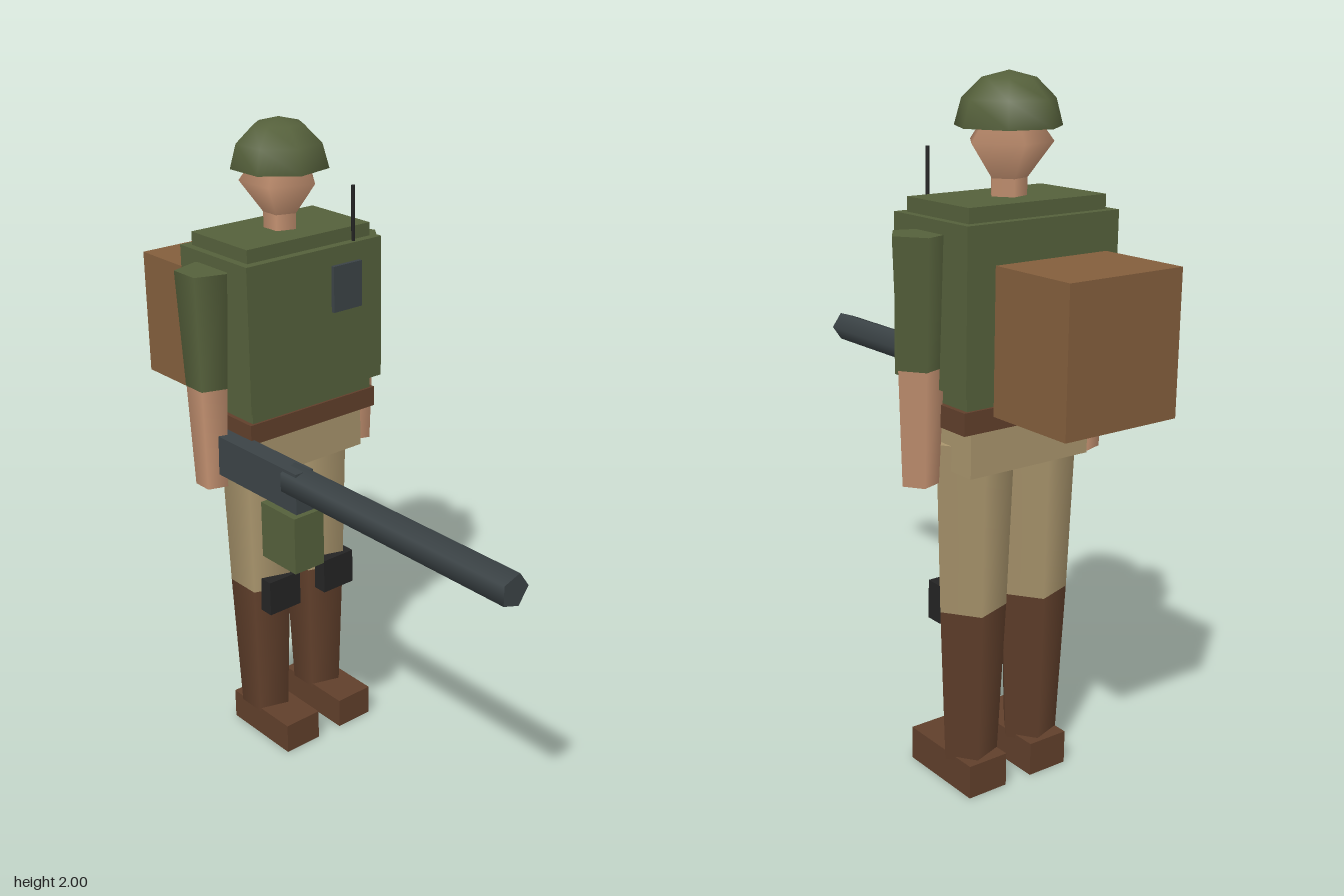
import * as THREE from 'three';

const mat = (name, color) => {
  const m = new THREE.MeshStandardMaterial({ color });
  m.name = name;
  return m;
};

export function createModel() {
  const green = mat('olive green', 0x55603b);
  const helmetGreen = mat('helmet green', 0x55603b);
  helmetGreen.side = THREE.DoubleSide; // open bowl
  const skin = mat('skin', 0xc29070);
  const tan = mat('tan cloth', 0xa8946c);
  const brown = mat('dark brown leather', 0x603f2b);
  const canvas = mat('canvas brown', 0x835e3c);
  const steel = mat('gun steel', 0x3b4346);
  const black = mat('black', 0x242424);

  const CX = -0.008, CZ = -0.377; // body axis
  const root = new THREE.Group();
  root.name = 'soldier';

  const add = (name, geo, material, x, y, z) => {
    const mesh = new THREE.Mesh(geo, material);
    mesh.name = name;
    mesh.position.set(x, y, z);
    root.add(mesh);
    return mesh;
  };
  // box from its size in x and z, and its y range
  const box = (name, material, w, d, y0, y1, x, z) =>
    add(name, new THREE.BoxGeometry(w, y1 - y0, d), material, x, (y0 + y1) / 2, z);
  // five-sided tapered limb with a corner towards +x
  const limb = (name, material, rTop, rBottom, y0, y1, x, z = CZ) =>
    add(name, new THREE.CylinderGeometry(rTop, rBottom, y1 - y0, 5, 1, false, Math.PI / 2),
      material, x, (y0 + y1) / 2, z);

  // Trunk
  box('torso', green, 0.455, 0.265, 1.14, 1.68, CX, CZ);
  box('vest', green, 0.502, 0.318, 1.2, 1.64, CX, CZ);
  box('belt', brown, 0.482, 0.28, 1.095, 1.157, CX, CZ);
  box('hips', tan, 0.404, 0.236, 0.965, 1.095, CX, CZ);

  // Head, neck and helmet
  limb('neck', skin, 0.052, 0.052, 1.66, 1.74, CX);
  const headGeo = new THREE.SphereGeometry(0.12, 5, 2, Math.PI);
  headGeo.scale(1, 1.37, 1);
  add('head', headGeo, skin, CX, 1.82, CZ);
  const helmetGeo = new THREE.SphereGeometry(0.146, 7, 3, Math.PI, Math.PI * 2, 0, Math.PI / 2);
  helmetGeo.scale(1, 0.142 / 0.146, 1);
  add('helmet', helmetGeo, helmetGreen, CX, 1.858, CZ);

  // Arms and legs
  for (const [side, s] of [['left', 1], ['right', -1]]) {
    const armX = CX + s * 0.284, legX = CX + s * 0.11;
    limb(side + 'Sleeve', green, 0.083, 0.067, 1.257, 1.606, armX);
    limb(side + 'Forearm', skin, 0.0655, 0.053, 0.94, 1.257, armX);
    limb(side + 'Thigh', tan, 0.117, 0.102, 0.548, 1.035, legX);
    limb(side + 'BootShaft', brown, 0.102, 0.082, 0.088, 0.548, legX);
    box(side + 'Shoe', brown, 0.13, 0.282, 0, 0.1, legX, -0.33);
    box(side + 'KneePad', black, 0.12, 0.054, 0.48, 0.595, legX, -0.291);
  }

  // Chest radio with aerial, and backpack
  box('radio', steel, 0.108, 0.03, 1.445, 1.585, 0.102, -0.221);
  add('aerial', new THREE.CylinderGeometry(0.006, 0.006, 0.225, 5), black, 0.146, 1.692, -0.233);
  box('backpack', canvas, 0.368, 0.278, 1.15, 1.54, -0.009, -0.702);

  // Gun held at the right side
  const gunX = -0.27;
  box('receiver', steel, 0.062, 0.434, 0.985, 1.11, gunX, -0.183);
  const barrel = new THREE.CylinderGeometry(0.048, 0.048, 0.866, 5, 1, false, Math.PI / 2);
  barrel.rotateX(Math.PI / 2);
  add('barrel', barrel, steel, gunX, 1.07, 0.408);
  box('ammoBox', green, 0.106, 0.152, 0.81, 0.985, gunX, -0.025);

  return root;
}
